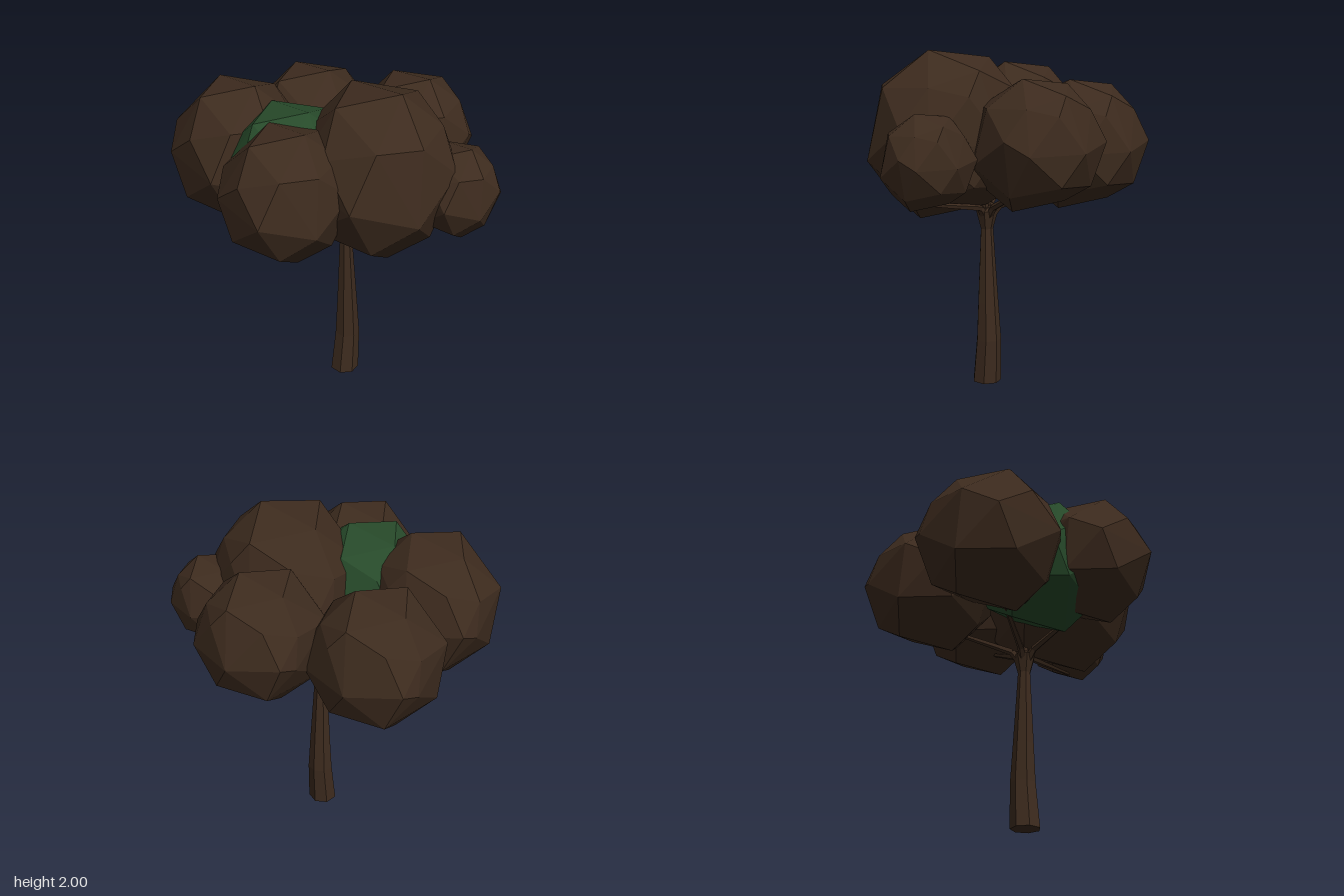
import * as THREE from 'three';
import { ConvexGeometry } from 'three/addons/geometries/ConvexGeometry.js';

const V = (a) => new THREE.Vector3(...a);

// Corners of the irregular faceted clump, within a box from -1 to 1
const CORNERS = [
  [0.16, 1, 0.3], [0.05, 0.9, -0.54], [-0.6, 0.89, 0], [0.75, 0.78, -0.1],
  [-1, 0.04, -0.34], [-0.93, 0.42, 0.2], [-0.66, 0.3, -0.74], [0.1, 0.42, -0.9],
  [0.24, -0.04, -1], [0.52, 0.05, -0.97], [0.55, 0.55, -0.65], [1, -0.04, -0.3],
  [0.9, 0.5, 0.1], [0.92, -0.52, 0.05], [0.9, -0.05, 0.58], [0.6, 0.15, 0.84],
  [0.65, 0.6, 0.5], [0.05, 0.58, 0.84], [-0.5, 0.58, 0.66], [-0.1, -0.27, 1],
  [-0.88, -0.05, 0.66], [-0.94, -0.56, -0.05], [-0.04, -1, 0.36], [0.1, -0.88, -0.48],
  [0.4, -0.7, 0.64], [-0.5, -0.7, 0.6], [-0.5, -0.55, -0.75], [0.55, -0.6, -0.68],
];

// Foliage clump filling the box between two corners
function clump(min, max) {
  const half = V(max).sub(V(min)).multiplyScalar(0.5);
  const centre = V(max).add(V(min)).multiplyScalar(0.5);
  return new ConvexGeometry(CORNERS.map((c) => V(c).multiply(half).add(centre)));
}

// Closed low-poly column through rings [x, y, z, radius]
function column(rings, sides) {
  const pos = [];
  const index = [];
  rings.forEach(([x, y, z, r]) => {
    for (let i = 0; i < sides; i++) {
      const a = (i / sides) * Math.PI * 2;
      pos.push(x + r * Math.sin(a), y, z + r * Math.cos(a));
    }
  });
  for (let k = 0; k < rings.length - 1; k++) {
    for (let i = 0; i < sides; i++) {
      const j = (i + 1) % sides;
      const a = k * sides + i, b = k * sides + j;
      index.push(a, b, b + sides, a, b + sides, a + sides);
    }
  }
  const top = (rings.length - 1) * sides;
  for (let i = 1; i < sides - 1; i++) {
    index.push(0, i + 1, i, top, top + i, top + i + 1);
  }
  const g = new THREE.BufferGeometry();
  g.setAttribute('position', new THREE.Float32BufferAttribute(pos, 3));
  g.setIndex(index);
  const flat = g.toNonIndexed();
  flat.computeVertexNormals();
  return flat;
}

// Tapered straight limb between two points
function limb(from, to, r0, r1) {
  const a = V(from), d = V(to).sub(a);
  const g = new THREE.CylinderGeometry(r1, r0, d.length(), 5);
  g.translate(0, d.length() / 2, 0);
  g.applyQuaternion(new THREE.Quaternion().setFromUnitVectors(new THREE.Vector3(0, 1, 0), d.normalize()));
  return g.translate(a.x, a.y, a.z);
}

export function createModel() {
  const brown = new THREE.MeshStandardMaterial({ color: 0x3d2b1e, flatShading: true });
  brown.name = 'brown';
  const green = new THREE.MeshStandardMaterial({ color: 0x274a2a, flatShading: true });
  green.name = 'green';

  const tree = new THREE.Group();
  tree.name = 'tree';
  const add = (name, geometry, material, parent = tree) => {
    const mesh = new THREE.Mesh(geometry, material);
    mesh.name = name;
    parent.add(mesh);
  };

  // Trunk, bulging low down and flaring at the fork
  add('trunk', column([
    [0, 0, 0.077, 0.088],
    [0.02, 0.27, 0.075, 0.076],
    [0.016, 0.5, 0.077, 0.063],
    [0.006, 0.95, 0.078, 0.038],
    [0.005, 1.06, 0.078, 0.068],
    [0.005, 1.09, 0.078, 0.03],
  ], 7), brown);

  // Branches: a thick root, then a thin arm into each clump
  const branches = new THREE.Group();
  branches.name = 'branches';
  tree.add(branches);
  const fork = [0.005, 1.0, 0.078];
  const arms = [
    [0.36, 1.2, 0.6],
    [0.45, 1.26, 0.05],
    [0.15, 1.2, -0.38],
    [-0.4, 1.24, -0.3],
    [-0.5, 1.25, 0.25],
    [0.03, 1.25, 0.1],
  ];
  arms.forEach((tip) => {
    const out = V(tip).sub(V(fork)).setY(0);
    out.setLength(Math.min(0.075, out.length()));
    const elbow = [fork[0] + out.x, 1.085, fork[2] + out.z];
    add('branchRoot', limb(fork, elbow, 0.03, 0.021), brown, branches);
    add('branchArm', limb(elbow, tip, 0.021, 0.011), brown, branches);
  });

  // Foliage: [name, min corner, max corner, material]
  const foliage = new THREE.Group();
  foliage.name = 'foliage';
  tree.add(foliage);
  [
    ['frontClump', [-0.4, 1.05, -0.14], [0.44, 2.0, 0.8], brown],
    ['leftClump', [0.13, 1.14, -0.33], [0.83, 1.86, 0.38], brown],
    ['smallClump', [0.13, 1.17, 0.36], [0.59, 1.69, 0.86], brown],
    ['backLeftClump', [-0.24, 1.05, -0.86], [0.49, 1.82, -0.11], brown],
    ['backRightClump', [-0.8, 1.08, -0.77], [-0.08, 1.9, 0.04], brown],
    ['rightClump', [-0.83, 1.13, -0.11], [-0.14, 1.86, 0.6], brown],
    ['innerClump', [-0.69, 1.09, -0.36], [0.03, 1.86, 0.4], green],
  ].forEach(([name, min, max, material]) => add(name, clump(min, max), material, foliage));

  return tree;
}
